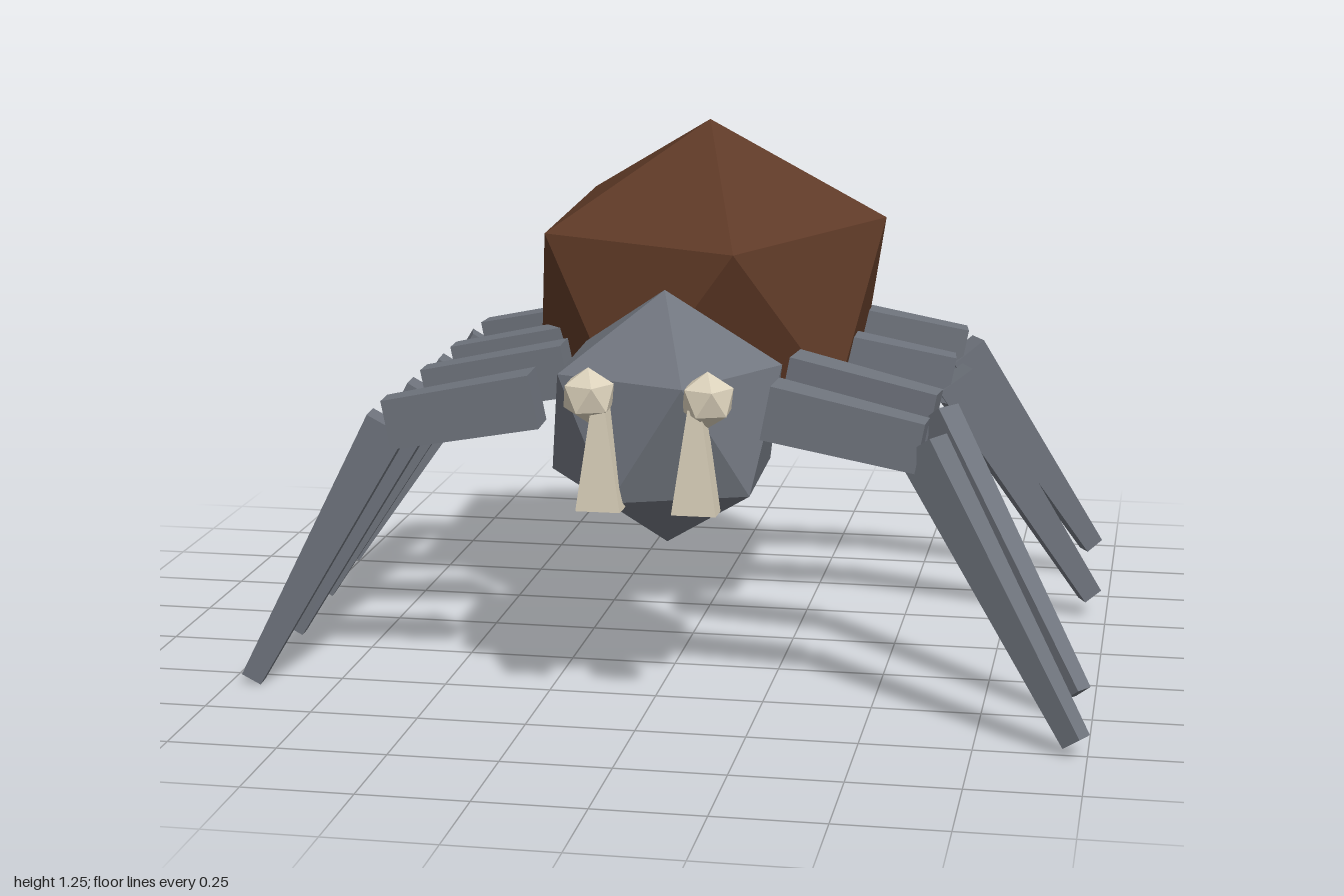
import * as THREE from 'three';

const makeMaterial = (name, color) => {
  const m = new THREE.MeshStandardMaterial({ color, flatShading: true });
  m.name = name;
  return m;
};

// Twenty-sided gem standing on one of its points
function gem(name, material, radii, position, tilt = 0) {
  const g = new THREE.IcosahedronGeometry(1, 0);
  g.rotateZ(-Math.atan(2 / (1 + Math.sqrt(5))));
  g.scale(...radii);
  g.computeVertexNormals();
  const mesh = new THREE.Mesh(g, material);
  mesh.name = name;
  mesh.position.set(...position);
  mesh.rotation.x = tilt;
  return mesh;
}

// Tapered square bar between two points; sizes are [width, height] at each end
function bar(name, material, from, to, startSize, endSize) {
  const a = new THREE.Vector3(...from), b = new THREE.Vector3(...to);
  const length = a.distanceTo(b);
  const g = new THREE.BoxGeometry(1, 1, length);
  const p = g.attributes.position;
  for (let i = 0; i < p.count; i++) {
    const s = p.getZ(i) < 0 ? startSize : endSize;
    p.setXY(i, p.getX(i) * s[0], p.getY(i) * s[1]);
  }
  g.computeVertexNormals();
  const mesh = new THREE.Mesh(g, material);
  mesh.name = name;
  mesh.position.copy(a).add(b).multiplyScalar(0.5);
  mesh.lookAt(b);
  return mesh;
}

export function createModel() {
  const brown = makeMaterial('abdomen brown', 0x5e3926);
  const grey = makeMaterial('body grey', 0x6f747d);
  const cream = makeMaterial('eye and fang cream', 0xdad0ba);
  const spider = new THREE.Group();
  spider.name = 'spider';

  // Body
  spider.add(gem('abdomen', brown, [0.49, 0.425, 0.58], [0, 0.845, -0.265], 0.045));
  spider.add(gem('head', grey, [0.3, 0.298, 0.3], [0.012, 0.667, 0.425], 0.045));

  // Eyes and fangs, with the fangs flaring toward the bottom
  for (const [side, eyeX, fangX] of [['right', -0.117, -0.09], ['left', 0.15, 0.125]]) {
    spider.add(gem(side + 'Eye', cream, [0.064, 0.064, 0.064], [eyeX, 0.765, 0.667], 0.045));
    const g = new THREE.BoxGeometry(0.1, 0.235, 0.066);
    const p = g.attributes.position;
    for (let i = 0; i < p.count; i++) if (p.getY(i) > 0) p.setX(i, p.getX(i) * 0.3);
    g.computeVertexNormals();
    const fang = new THREE.Mesh(g, cream);
    fang.name = side + 'Fang';
    fang.position.set(fangX, 0.627, 0.672);
    fang.rotation.x = -0.045;
    spider.add(fang);
  }

  // Legs from front to back: hip z, knee z, then foot x, y, z
  const legs = {
    right: [
      [0.52, 0.535, -0.948, 0.035, 0.557],
      [0.18, 0.19, -0.955, 0.05, 0.208],
      [-0.105, -0.095, -0.962, 0.07, -0.067],
      [-0.4, -0.42, -0.972, 0.09, -0.33],
    ],
    left: [
      [0.54, 0.56, 0.975, 0.055, 0.75],
      [0.215, 0.255, 0.965, 0.085, 0.505],
      [-0.13, -0.17, 0.958, 0.075, -0.335],
      [-0.475, -0.525, 0.945, 0.105, -0.71],
    ],
  };
  for (const side of ['right', 'left']) {
    const sign = side === 'left' ? 1 : -1;
    legs[side].forEach(([hipZ, kneeZ, footX, footY, footZ], i) => {
      const leg = new THREE.Group();
      leg.name = side + 'Leg' + (i + 1);
      const knee = [sign * 0.612, 0.655, kneeZ];
      leg.add(bar('upperLeg', grey, [sign * 0.268, 0.722, hipZ], knee, [0.1, 0.125], [0.07, 0.115]));
      leg.add(bar('lowerLeg', grey, knee, [footX, footY, footZ], [0.07, 0.1], [0.045, 0.05]));
      spider.add(leg);
    });
  }
  return spider;
}
